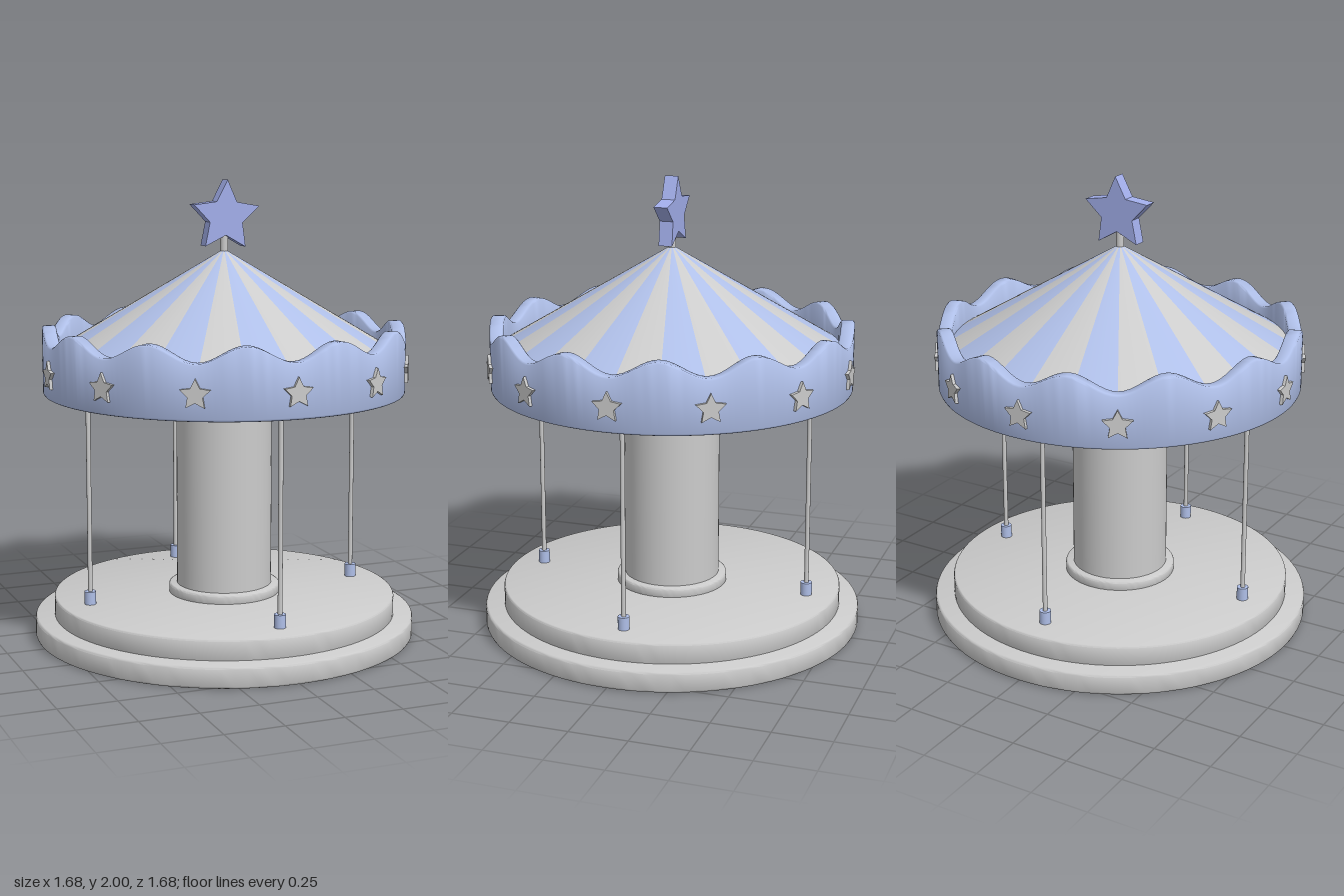
import * as THREE from 'three';
import { toCreasedNormals } from 'three/addons/utils/BufferGeometryUtils.js';

const grey = new THREE.MeshStandardMaterial({ color: 0xcccccc });
const blue = new THREE.MeshStandardMaterial({ color: 0xafbfe8 });
const starBlue = new THREE.MeshStandardMaterial({ color: 0xa2aeea });

function add(parent, name, geometry, material, x = 0, y = 0, z = 0) {
  const mesh = new THREE.Mesh(geometry, material);
  mesh.name = name;
  mesh.position.set(x, y, z);
  parent.add(mesh);
  return mesh;
}

// Round slab from y0 to y1 with a softened upper and lower rim
function slab(r, y0, y1, bevel) {
  const k = bevel * 0.3;
  const points = [
    [0, y0], [r - bevel, y0], [r - k, y0 + k], [r, y0 + bevel],
    [r, y1 - bevel], [r - k, y1 - k], [r - bevel, y1], [0, y1],
  ].map(([x, y]) => new THREE.Vector2(x, y));
  return toCreasedNormals(new THREE.LatheGeometry(points, 96), 0.9);
}

// Five-pointed star plate, centred in its thickness
function star(radius, ratio, depth) {
  const shape = new THREE.Shape();
  for (let i = 0; i < 10; i++) {
    const a = Math.PI / 2 + (i * Math.PI) / 5;
    const r = i % 2 ? radius * ratio : radius;
    if (i) shape.lineTo(r * Math.cos(a), r * Math.sin(a));
    else shape.moveTo(r * Math.cos(a), r * Math.sin(a));
  }
  shape.closePath();
  return new THREE.ExtrudeGeometry(shape, { depth, bevelEnabled: false }).translate(0, 0, -depth / 2);
}

// Canopy band: closed floor, upright wall and a scalloped rim with 12 waves
function scallopedBand() {
  const points = [
    [0, 1.08], [0.78, 1.08], [0.787, 1.083], [0.79, 1.09], [0.79, 1.338],
    [0.783, 1.345], [0.737, 1.345], [0.73, 1.338], [0.73, 1.2],
  ].map(([x, y]) => new THREE.Vector2(x, y));
  const geometry = new THREE.LatheGeometry(points, 192);
  const pos = geometry.attributes.position;
  for (let i = 0; i < pos.count; i++) {
    if (pos.getY(i) < 1.3) continue;
    const angle = Math.atan2(pos.getX(i), pos.getZ(i));
    pos.setY(i, pos.getY(i) - 0.035 * Math.cos(12 * angle));
  }
  return toCreasedNormals(geometry, 0.9);
}

export function createModel() {
  const model = new THREE.Group();
  model.name = 'carousel';

  // Stepped platform and central column
  add(model, 'lowerPlatform', slab(0.84, 0, 0.092, 0.01), grey);
  add(model, 'upperPlatform', slab(0.755, 0.08, 0.18, 0.008), grey);
  add(model, 'columnCollar', slab(0.245, 0.17, 0.22, 0.008), grey);
  add(model, 'column', new THREE.CylinderGeometry(0.21, 0.21, 0.9, 64), grey, 0, 0.64);

  // Four poles with their sockets
  for (let i = 0; i < 4; i++) {
    const a = (i * Math.PI) / 2;
    const x = 0.625 * Math.sin(a);
    const z = 0.625 * Math.cos(a);
    add(model, 'pole', new THREE.CylinderGeometry(0.01, 0.01, 0.92, 16), grey, x, 0.635, z);
    add(model, 'poleSocket', new THREE.CylinderGeometry(0.025, 0.025, 0.06, 24), blue, x, 0.207, z);
  }

  // Canopy band with its ring of stars
  add(model, 'canopyBand', scallopedBand(), blue);
  const badge = star(0.065, 0.5, 0.024);
  for (let i = 0; i < 12; i++) {
    const a = (i * Math.PI) / 6;
    const mesh = add(model, 'bandStar', badge, grey, 0.791 * Math.sin(a), 1.19, 0.791 * Math.cos(a));
    mesh.rotation.y = a;
  }

  // Striped conical roof in 24 alternating wedges
  const roof = new THREE.Group();
  roof.name = 'roof';
  model.add(roof);
  const step = Math.PI / 12;
  for (let i = 0; i < 24; i++) {
    const wedge = new THREE.ConeGeometry(0.74, 0.44, 6, 1, true, i * step, step);
    add(roof, 'roofStripe', wedge, i % 2 ? blue : grey, 0, 1.483);
  }

  // Finial
  add(model, 'finialPost', new THREE.CylinderGeometry(0.017, 0.017, 0.12, 24), grey, 0, 1.72);
  const finial = add(model, 'finialStar', star(0.158, 0.5, 0.06), starBlue, 0, 1.842);
  finial.rotation.z = -0.035;

  return model;
}
